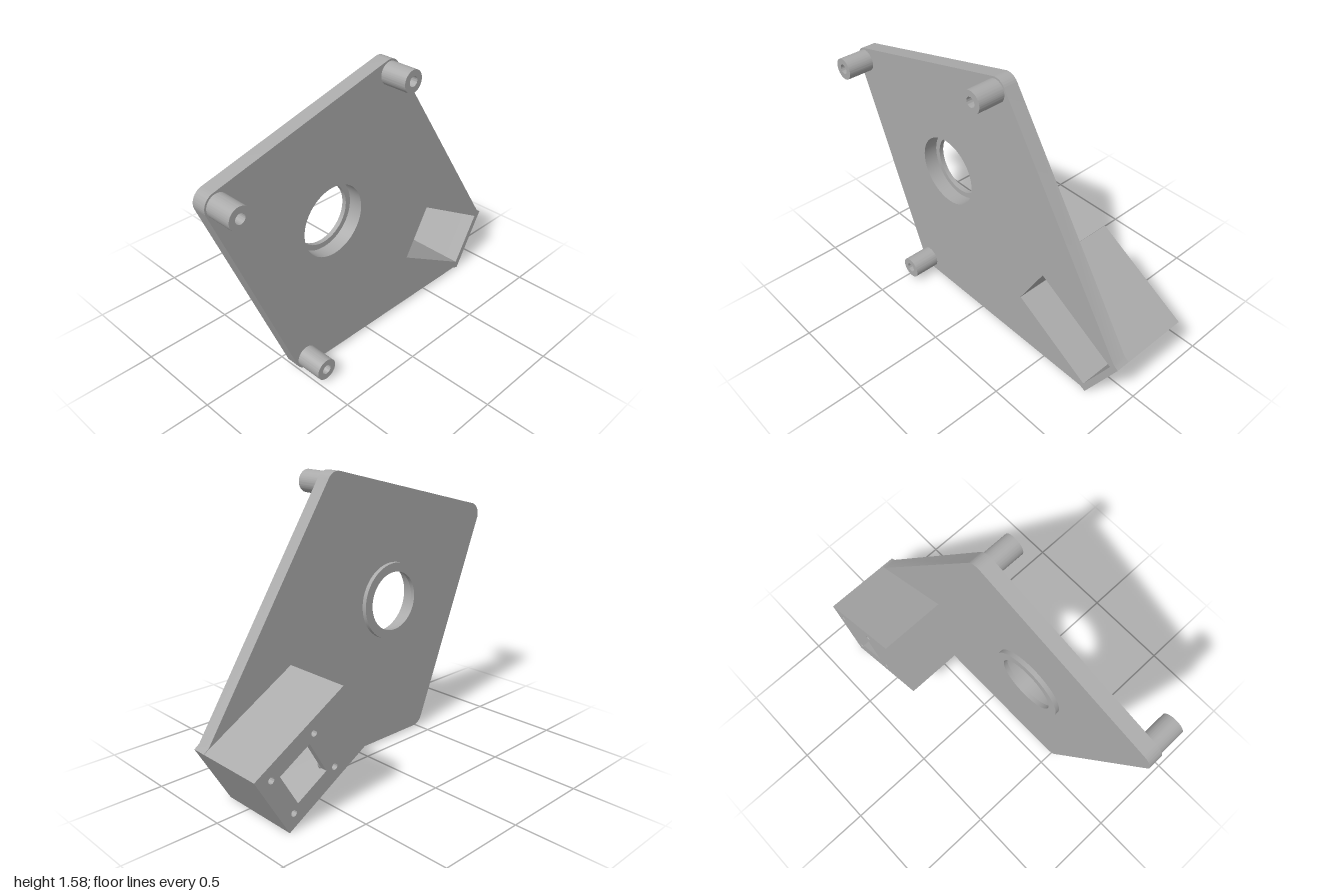
import * as THREE from 'three';
import { toCreasedNormals } from 'three/addons/utils/BufferGeometryUtils.js';

const PLATE_BACK = 0.08, PLATE_FRONT = 0.16;
const BOX_BACK = -0.31, FLOOR_TOP = -0.27;

export function createModel() {
  const model = new THREE.Group();
  model.name = 'mountingPlate';
  const grey = new THREE.MeshStandardMaterial({ color: 0xaaaaaa });
  grey.name = 'grey plastic';

  // Extrude a shape between two z planes
  const slab = (name, shape, z0, z1) => {
    const raw = new THREE.ExtrudeGeometry(shape, { depth: z1 - z0, bevelEnabled: false, curveSegments: 40 });
    const mesh = new THREE.Mesh(toCreasedNormals(raw, 0.5), grey);
    mesh.geometry.translate(0, 0, z0);
    mesh.name = name;
    model.add(mesh);
  };
  const circle = (x, y, r, Type = THREE.Path) => {
    const p = new Type();
    p.absarc(x, y, r, 0, Math.PI * 2, false);
    return p;
  };
  const ring = (x, y, outer, inner) => {
    const s = circle(x, y, outer, THREE.Shape);
    s.holes.push(circle(x, y, inner));
    return s;
  };

  // Tilted frame of the housing
  const c = Math.cos(Math.PI / 6), s = 0.5;
  const local = (u, v) => new THREE.Vector2(0.635 + u * c + v * s, 0.322 - u * s + v * c);
  const rect = (u, v, w, h) => [[-1, -1], [1, -1], [1, 1], [-1, 1]]
    .map(([a, b]) => local(u + a * w / 2, v + b * h / 2));
  const boxOuter = rect(0, 0, 0.62, 0.38);
  const pocket = rect(0, 0, 0.55, 0.31);

  // Plate outline: three rounded corners, the fourth ends in the housing
  const corners = [[0.13, 1.51], [-0.93, 1.23], [-0.46, 0.088]];
  const before = [0.97, 0.352], after = [0.775, 0.018];
  const r = 0.07;
  const edgeNormal = (a, b) => Math.atan2(b[1] - a[1], b[0] - a[0]) - Math.PI / 2;
  const normals = [
    Math.atan2(0.543, 0.84),
    edgeNormal(corners[0], corners[1]),
    edgeNormal(corners[1], corners[2]),
    -Math.PI / 2,
  ];
  const plate = new THREE.Shape();
  plate.moveTo(...after);
  plate.lineTo(boxOuter[1].x, boxOuter[1].y);
  plate.lineTo(boxOuter[2].x, boxOuter[2].y);
  plate.lineTo(...before);
  corners.forEach(([x, y], i) => plate.absarc(x, y, r, normals[i], normals[i + 1], false));
  plate.closePath();
  plate.holes.push(circle(-0.255, 0.838, 0.195), new THREE.Path(pocket));
  slab('plate', plate, PLATE_BACK, PLATE_FRONT);

  // Stepped lip behind the round opening
  slab('openingLip', ring(-0.255, 0.838, 0.215, 0.165), 0.055, PLATE_BACK);

  // Standoffs with blind screw holes
  corners.forEach(([x, y]) => slab('standoff', ring(x, y, 0.06, 0.027), PLATE_FRONT, 0.31));

  // Housing walls
  const walls = new THREE.Shape(boxOuter);
  walls.holes.push(new THREE.Path(pocket));
  slab('housingWalls', walls, FLOOR_TOP, PLATE_BACK);

  // Housing floor with window and four screw holes
  const screws = [[-1, -1], [1, -1], [1, 1], [-1, 1]]
    .map(([a, b]) => local(0.091 + a * 0.148, b * 0.124));
  const floor = new THREE.Shape(boxOuter);
  floor.holes.push(new THREE.Path(rect(0.093, 0, 0.206, 0.2)));
  screws.forEach((p) => floor.holes.push(circle(p.x, p.y, 0.017)));
  slab('housingFloor', floor, BOX_BACK, FLOOR_TOP);

  // Short screw posts on the floor
  screws.forEach((p) => slab('screwPost', ring(p.x, p.y, 0.04, 0.017), FLOOR_TOP, FLOOR_TOP + 0.04));

  return model;
}
